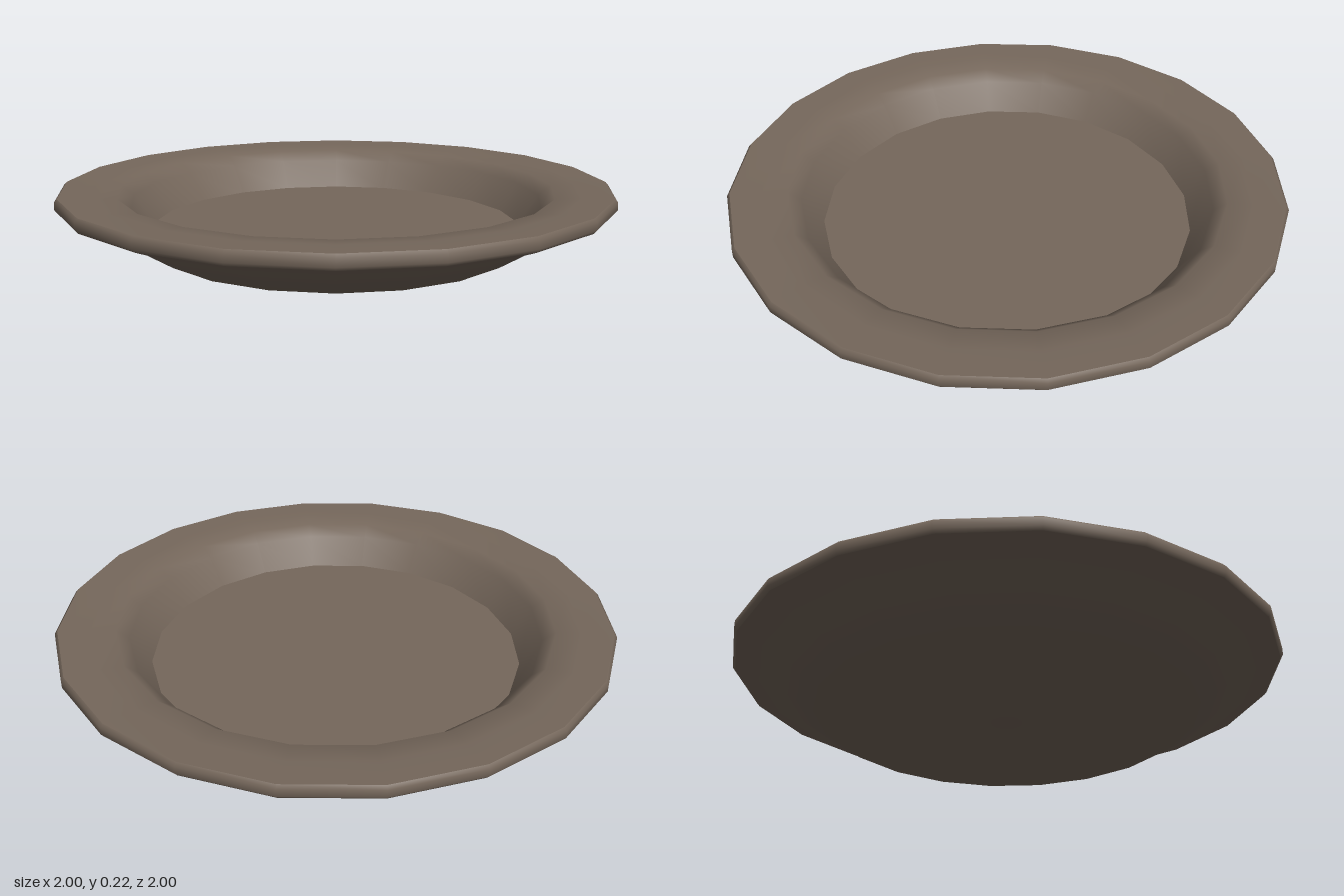
import * as THREE from 'three';

const SIDES = 20;

export function createModel() {
  const plate = new THREE.Group();
  plate.name = 'plate';
  const material = new THREE.MeshStandardMaterial({ color: 0x75675b });

  // Each profile is one smooth surface; creases fall between profiles.
  // Points run from the bottom centre outwards, over the rim and back to the middle.
  const profiles = {
    underside: [[0, 0], [0.67, 0], [0.82, 0.095], [0.99, 0.166]],
    rimEdge: [[0.99, 0.166], [1, 0.178], [1, 0.204], [0.99, 0.215]],
    rimAndWall: [[0.99, 0.215], [0.88, 0.211], [0.79, 0.202], [0.745, 0.165], [0.675, 0.06]],
    floor: [[0.675, 0.06], [0, 0.06]],
  };

  for (const [name, points] of Object.entries(profiles)) {
    const profile = points.map(([r, y]) => new THREE.Vector2(r, y));
    const mesh = new THREE.Mesh(new THREE.LatheGeometry(profile, SIDES), material);
    mesh.name = name;
    plate.add(mesh);
  }
  return plate;
}
